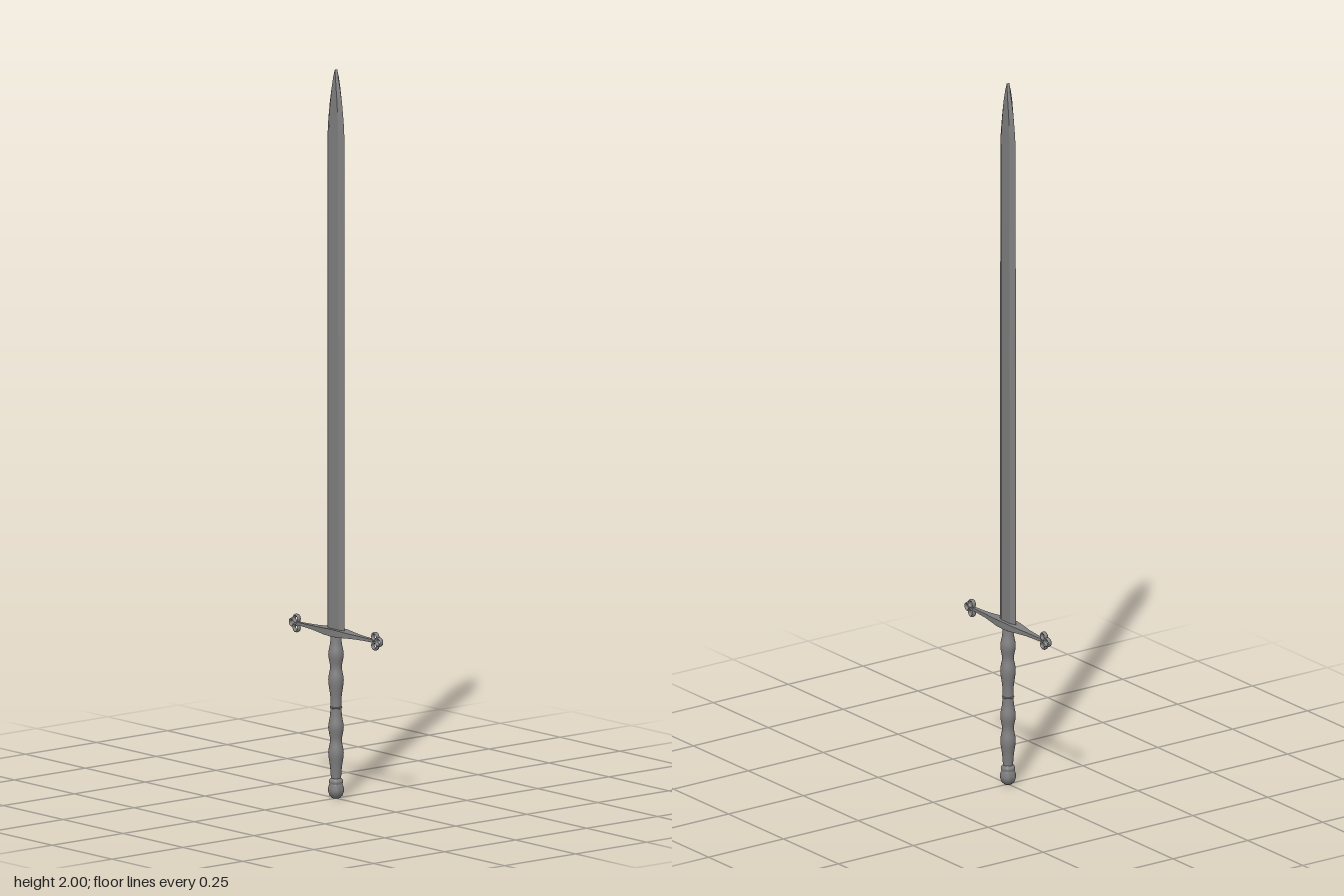
import * as THREE from 'three';
import { toCreasedNormals } from 'three/addons/utils/BufferGeometryUtils.js';

const steel = new THREE.MeshStandardMaterial({ color: 0x808080 });
const guardY = 0.456;

// Joins equal-sized rings of points (counter-clockwise seen from the end of the path) and caps both ends.
function loft(rings, crease) {
  const n = rings[0].length;
  const index = [];
  for (let r = 0; r < rings.length - 1; r++) {
    for (let i = 0; i < n; i++) {
      const a = r * n + i, b = r * n + (i + 1) % n;
      index.push(a, b, b + n, a, b + n, a + n);
    }
  }
  const last = (rings.length - 1) * n;
  for (let i = 1; i < n - 1; i++) {
    index.push(0, i + 1, i, last, last + i, last + i + 1);
  }
  const geo = new THREE.BufferGeometry();
  geo.setAttribute('position', new THREE.Float32BufferAttribute(rings.flat(2), 3));
  geo.setIndex(index);
  return toCreasedNormals(geo, crease);
}

function add(group, name, geometry, x = 0, y = 0) {
  const mesh = new THREE.Mesh(geometry, steel);
  mesh.name = name;
  mesh.position.set(x, y, 0);
  group.add(mesh);
  return mesh;
}

export function createModel() {
  const sword = new THREE.Group();
  sword.name = 'sword';

  // Blade: six-sided section with a flat middle, curving in to the point. [y, half width, half depth]
  const bladeStations = [
    [0.455, 0.036, 0.0085], [1.82, 0.035, 0.0085], [1.86, 0.032, 0.0085], [1.91, 0.0255, 0.008],
    [1.95, 0.017, 0.0075], [1.98, 0.0085, 0.006], [2.0, 0.0005, 0.004],
  ];
  const blade = bladeStations.map(([y, w, d]) => [
    [w, y, 0], [w * 0.55, y, -d], [-w * 0.55, y, -d], [-w, y, 0], [-w * 0.55, y, d], [w * 0.55, y, d],
  ]);
  add(sword, 'blade', loft(blade, 0.2));

  // Crossguard: rectangular bar, broad in the middle, slender at the ends. [x, half height, half depth]
  const half = [
    [0, 0.010, 0.0185], [0.03, 0.009, 0.0175], [0.06, 0.007, 0.0135],
    [0.09, 0.0055, 0.009], [0.12, 0.0045, 0.007], [0.158, 0.004, 0.005],
  ];
  const stations = [...half.slice(1).reverse().map(([x, h, d]) => [-x, h, d]), ...half];
  const guard = stations.map(([x, h, d]) => [[x, -h, -d], [x, h, -d], [x, h, d], [x, -h, d]]);
  add(sword, 'crossguard', loft(guard, 0.6), 0, guardY);

  // Trefoil of three open rings, deeper than they are thick, at each end of the crossguard
  const ring = new THREE.TorusGeometry(0.0098, 0.0033, 8, 20).scale(1, 1, 1.8);
  for (const side of [-1, 1]) {
    const trefoil = new THREE.Group();
    trefoil.name = side > 0 ? 'leftTrefoil' : 'rightTrefoil';
    for (const [x, y] of [[0.164, 0.0125], [0.164, -0.0125], [0.1802, 0]]) {
      add(trefoil, 'trefoilRing', ring, side * x, guardY + y);
    }
    sword.add(trefoil);
  }

  // Grip: turned handle with four swells and a slim waist
  const gripProfile = [
    [0.014, 0.045], [0.014, 0.06], [0.0165, 0.09], [0.021, 0.125], [0.016, 0.16], [0.021, 0.195],
    [0.0165, 0.225], [0.015, 0.25], [0.0155, 0.28], [0.021, 0.325], [0.016, 0.36], [0.021, 0.395],
    [0.016, 0.425], [0.0135, 0.455],
  ].map(([r, y]) => new THREE.Vector2(r, y));
  add(sword, 'grip', new THREE.LatheGeometry(new THREE.SplineCurve(gripProfile).getPoints(52), 24));

  // Thin collar around the waist of the grip
  const collar = add(sword, 'gripCollar', new THREE.TorusGeometry(0.0145, 0.0025, 8, 24), 0, 0.25);
  collar.rotation.x = Math.PI / 2;

  // Pommel: rounded knob with a small neck ring
  const pommelProfile = [
    [0, 0], [0.01, 0.001], [0.017, 0.007], [0.021, 0.018], [0.0215, 0.027],
    [0.019, 0.036], [0.0175, 0.04], [0.0195, 0.045], [0.019, 0.05], [0.014, 0.056],
  ].map(([r, y]) => new THREE.Vector2(r, y));
  add(sword, 'pommel', toCreasedNormals(new THREE.LatheGeometry(pommelProfile, 24), 0.7));

  return sword;
}
